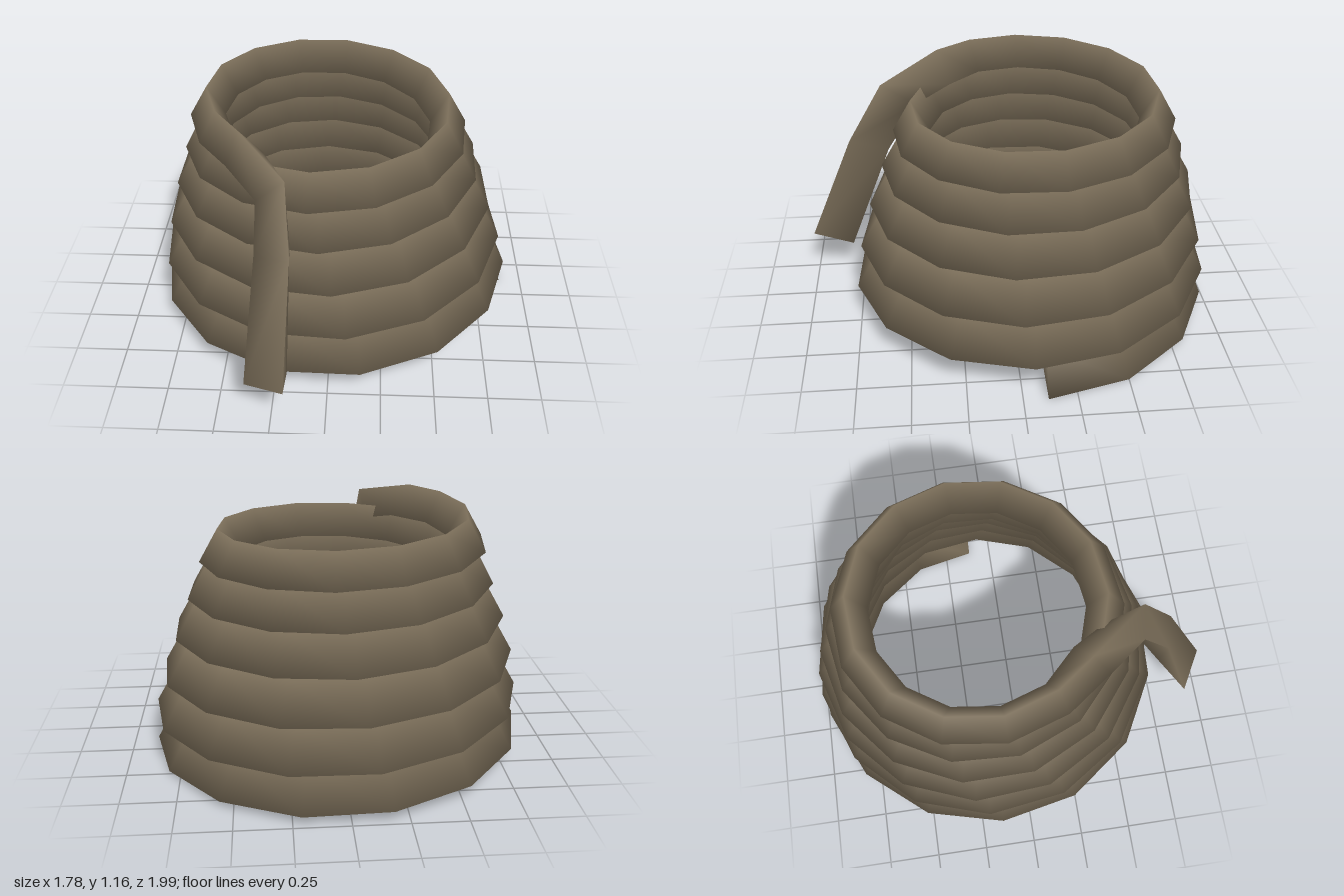
import * as THREE from 'three';

const STEPS_PER_TURN = 14.15;
const COIL_STEPS = 79;

// values at each whole turn of the coil
const outerRadius = [0.89, 0.89, 0.855, 0.8, 0.735, 0.675, 0.66];
const centreX = [0, 0, -0.01, -0.018, -0.025, -0.03, -0.03];
const centreZ = [-0.115, -0.115, -0.125, -0.135, -0.14, -0.14, -0.14];
const baseY = [0, 0.18, 0.38, 0.585, 0.765, 0.93, 1.08];
const strandWidth = [0.217, 0.217, 0.212, 0.205, 0.195, 0.175, 0.165];

function at(values, t) {
  const i = Math.min(Math.floor(t), values.length - 2);
  return THREE.MathUtils.lerp(values[i], values[i + 1], t - i);
}

// triangular section of the strand: outer corner, apex, inner corner
function coilSection(t) {
  const angle = t * Math.PI * 2;
  const r = at(outerRadius, t), w = at(strandWidth, t), y = at(baseY, t);
  const point = (radius, height) => [
    at(centreX, t) + Math.cos(angle) * radius,
    height,
    at(centreZ, t) - Math.sin(angle) * radius,
  ];
  return [point(r, y), point(r - w / 2, y + w * 0.87), point(r - w, y)];
}

// loose end bending over the rim and hanging down the front
const tailSections = [
  [[-0.46, 1.03, 0.40], [-0.41, 1.165, 0.32], [-0.31, 1.02, 0.26]],
  [[-0.31, 0.98, 0.59], [-0.18, 1.085, 0.60], [-0.20, 0.97, 0.43]],
  [[-0.31, 0.79, 0.73], [-0.155, 0.80, 0.77], [-0.17, 0.74, 0.58]],
  [[-0.365, 0.20, 0.90], [-0.18, 0.25, 1.00], [-0.18, 0.18, 0.80]],
];

// skin a closed strand over a list of triangular sections
function strandGeometry(sections) {
  const index = [0, 1, 2];
  for (let i = 0; i < sections.length - 1; i++) {
    for (let j = 0; j < 3; j++) {
      const a = i * 3 + j, b = i * 3 + (j + 1) % 3;
      index.push(a, a + 3, b, b, a + 3, b + 3);
    }
  }
  const last = (sections.length - 1) * 3;
  index.push(last, last + 2, last + 1);
  const geometry = new THREE.BufferGeometry();
  geometry.setAttribute('position', new THREE.Float32BufferAttribute(sections.flat(2), 3));
  geometry.setIndex(index);
  geometry.computeVertexNormals();
  return geometry;
}

export function createModel() {
  const group = new THREE.Group();
  group.name = 'ropeCoil';
  const rope = new THREE.MeshStandardMaterial({ color: 0x7c6f5a });
  rope.name = 'rope brown';

  const sections = [];
  for (let i = 0; i <= COIL_STEPS; i++) sections.push(coilSection(i / STEPS_PER_TURN));
  sections.push(...tailSections);

  const strand = new THREE.Mesh(strandGeometry(sections), rope);
  strand.name = 'coiledStrand';
  group.add(strand);
  return group;
}
